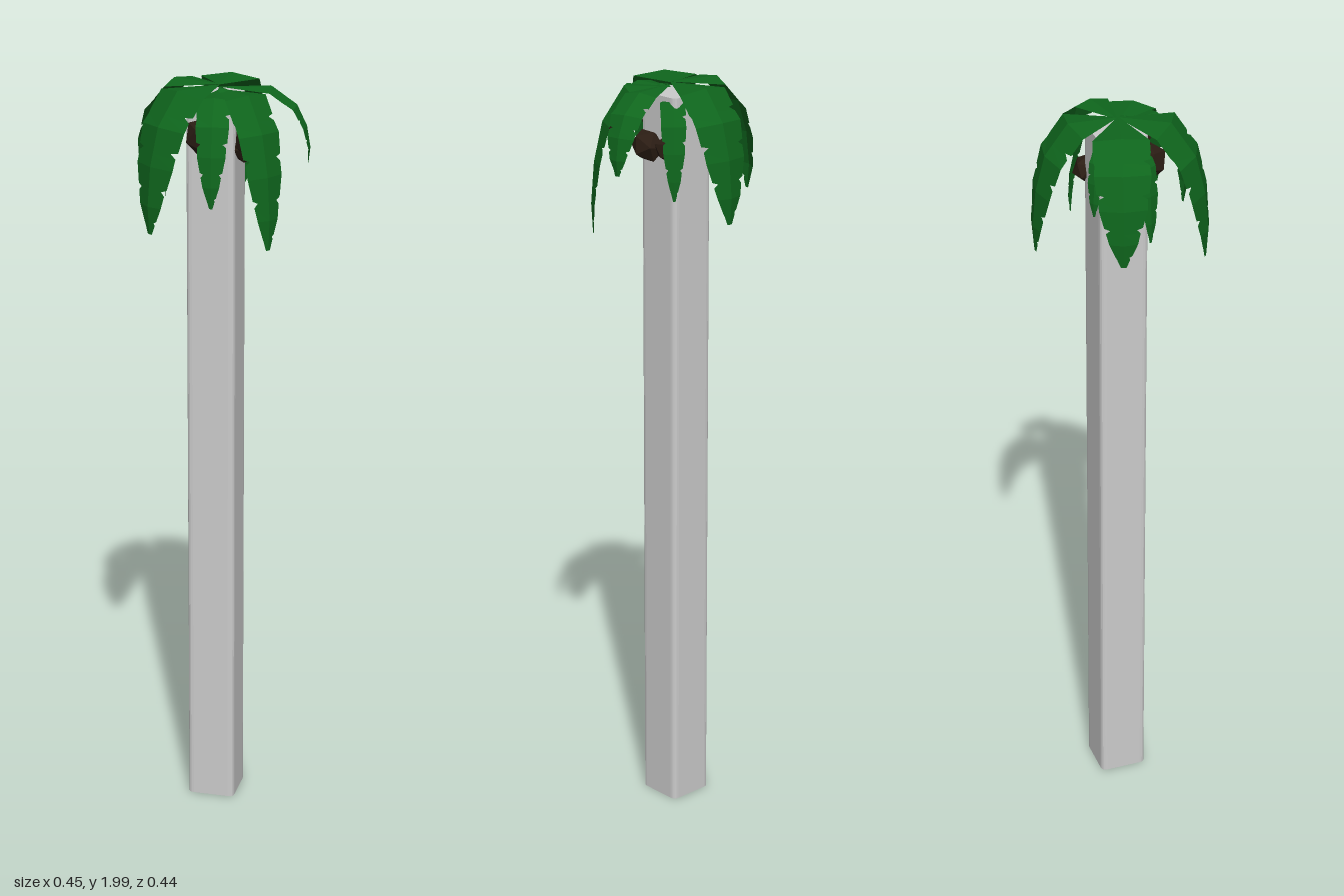
import * as THREE from 'three';

const material = (color) => new THREE.MeshStandardMaterial({ color, flatShading: true, side: THREE.DoubleSide });

// Midrib stations of a frond: share of reach, share of drop, share of width
const STATIONS = [
  [0, 0.03, 0.02], [0.58, 0.02, 1], [0.85, 0.25, 1], [0.96, 0.52, 0.85], [1, 0.8, 0.5], [0.98, 1, 0.1],
];

// Folded, drooping frond running along +z, with torn notches in both edges
function frondGeometry(reach, drop, halfWidth, top) {
  const rows = [];
  for (let i = 0; i < STATIONS.length - 1; i++) {
    const [a, b] = [STATIONS[i], STATIONS[i + 1]];
    const slope = Math.atan2((b[1] - a[1]) * drop, (b[0] - a[0]) * reach);
    const cuts = i === 0 ? [[0, 1]] : [[0, 1], [0.5, 1], [0.56, 0.72], [0.66, 0.96]];
    for (const [t, cut] of cuts) {
      const s = a.map((v, k) => v + (b[k] - v) * t);
      rows.push({ z: s[0] * reach, y: top - s[1] * drop, w: s[2] * halfWidth, cut, slope });
    }
  }
  const end = STATIONS[STATIONS.length - 1];
  rows.push({ z: end[0] * reach, y: top - end[1] * drop, w: end[2] * halfWidth, cut: 1, slope: 1.5 });

  const edge = (r, side, index) => {
    const w = r.w * (side > 0 || index % 3 ? r.cut : 1);
    const sag = 0.22 * w;
    return [side * w, r.y - sag * Math.cos(r.slope), r.z - sag * Math.sin(r.slope)];
  };
  const rib = (r) => [0, r.y, r.z];
  const pos = [];
  for (let i = 0; i < rows.length - 1; i++) {
    const [a, b] = [rows[i], rows[i + 1]];
    const [la, lb] = [edge(a, -1, i), edge(b, -1, i + 1)];
    const [ra, rb] = [edge(a, 1, i), edge(b, 1, i + 1)];
    pos.push(...la, ...lb, ...rib(b), ...la, ...rib(b), ...rib(a));
    pos.push(...rib(a), ...rib(b), ...rb, ...rib(a), ...rb, ...ra);
  }
  const g = new THREE.BufferGeometry();
  g.setAttribute('position', new THREE.Float32BufferAttribute(pos, 3));
  g.computeVertexNormals();
  return g;
}

export function createModel() {
  const model = new THREE.Group();
  model.name = 'palmTree';
  const green = material(0x0f661d);
  const brown = material(0x2b1d14);
  const grey = new THREE.MeshStandardMaterial({ color: 0xcccccc });

  // Square trunk with rounded upright edges
  const h = 0.064, c = 0.016;
  const section = new THREE.Shape();
  section.moveTo(-h + c, -h);
  section.lineTo(h - c, -h).quadraticCurveTo(h, -h, h, -h + c);
  section.lineTo(h, h - c).quadraticCurveTo(h, h, h - c, h);
  section.lineTo(-h + c, h).quadraticCurveTo(-h, h, -h, h - c);
  section.lineTo(-h, -h + c).quadraticCurveTo(-h, -h, -h + c, -h);
  const trunkGeo = new THREE.ExtrudeGeometry(section, { depth: 1.965, bevelEnabled: false, curveSegments: 4 });
  trunkGeo.rotateX(-Math.PI / 2);
  const trunk = new THREE.Mesh(trunkGeo, grey);
  trunk.name = 'trunk';
  trunk.position.set(-0.011, 0, -0.008);
  model.add(trunk);

  // Dark core showing in the foot of the trunk
  const core = new THREE.Mesh(new THREE.CylinderGeometry(0.022, 0.022, 0.02, 6), brown);
  core.name = 'trunkCore';
  core.position.set(-0.01, 0.009, -0.008);
  model.add(core);

  // Crown: direction x, direction z, reach, drop, half width, top
  const crown = new THREE.Group();
  crown.name = 'crown';
  const fronds = [
    [0, -1, 0.225, 0.34, 0.077, 2],
    [-0.21, -0.06, 0.228, 0.31, 0.07, 2],
    [0.22, -0.045, 0.232, 0.2, 0.048, 1.99],
    [-0.13, 0.18, 0.235, 0.36, 0.082, 2],
    [0.16, 0.125, 0.205, 0.39, 0.064, 1.99],
    [0.025, 0.19, 0.19, 0.27, 0.042, 1.985],
    [0.08, -0.1, 0.13, 0.25, 0.032, 1.96],
    [-0.08, -0.09, 0.125, 0.18, 0.025, 1.95],
    [-0.13, 0.04, 0.14, 0.26, 0.032, 1.96],
    [0.025, 0.04, 0.047, 0.03, 0.012, 1.985],
  ];
  for (const [dx, dz, reach, drop, width, top] of fronds) {
    const frond = new THREE.Mesh(frondGeometry(reach, drop, width, top), green);
    frond.name = 'frond';
    frond.rotation.y = Math.atan2(dx, dz);
    crown.add(frond);
  }
  model.add(crown);

  // Coconuts clustered below the fronds
  const nuts = [
    [-0.025, 1.87, 0.075, 0.045], [0.1, 1.87, 0.085, 0.04], [0.07, 1.835, 0.01, 0.042], [0.06, 1.835, -0.06, 0.036],
  ];
  nuts.forEach(([x, y, z, r], i) => {
    const nut = new THREE.Mesh(new THREE.IcosahedronGeometry(r, 0), brown);
    nut.name = 'coconut';
    nut.scale.y = 1.15;
    nut.position.set(x, y, z);
    nut.rotation.set(0.4 * i, 1.1 * i, 0.3);
    model.add(nut);
  });
  return model;
}
